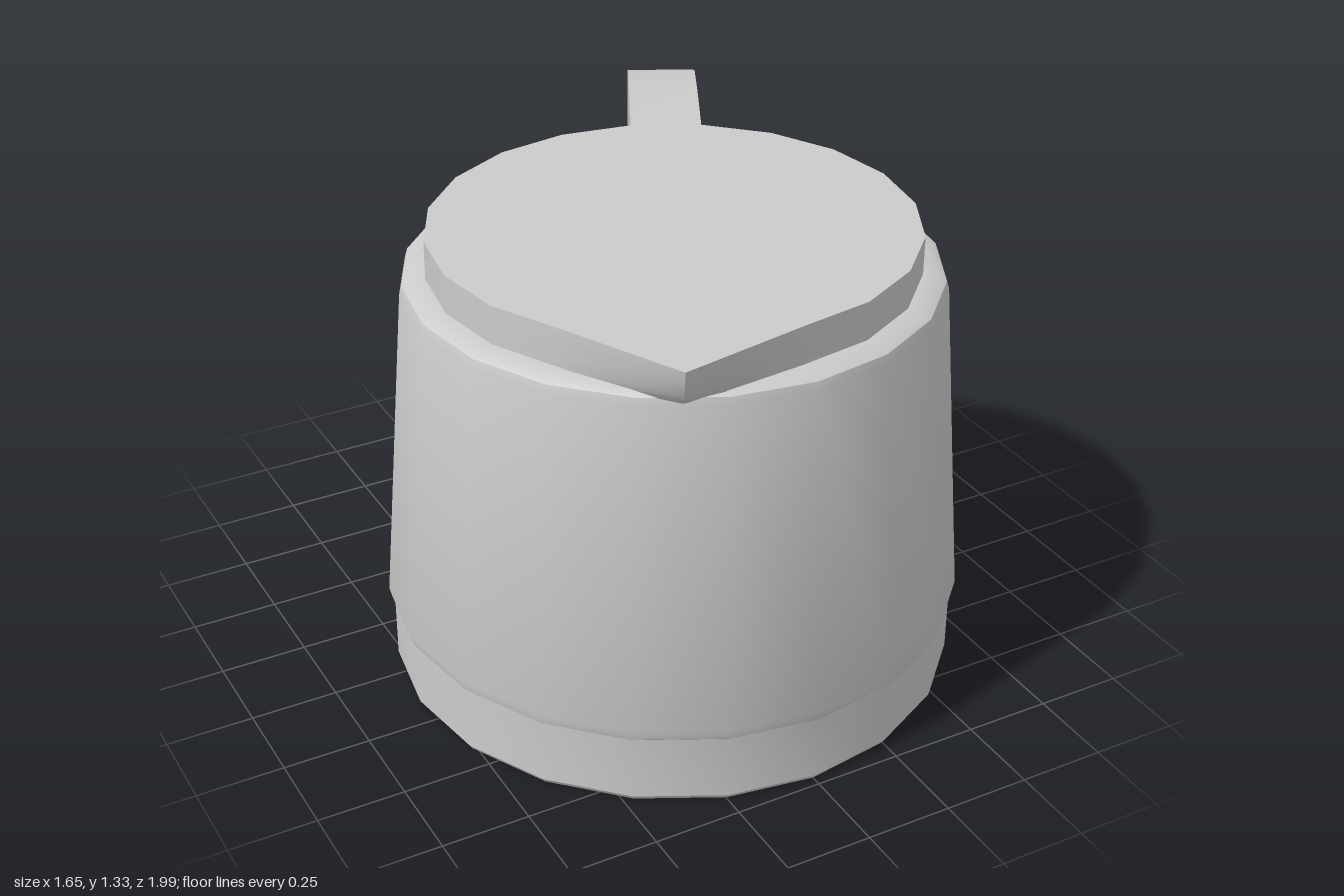
import * as THREE from 'three';
import { toCreasedNormals } from 'three/addons/utils/BufferGeometryUtils.js';

const SEGMENTS = 20;
const LID_RADIUS = 0.675;
const TIP_RADIUS = 0.835;
const SPOUT_ANGLE = 333; // degrees from +z towards +x; the handle lies opposite

function makeMesh(name, geometry, crease = 0.55) {
  const material = new THREE.MeshStandardMaterial({ color: 0xcccccc });
  const mesh = new THREE.Mesh(toCreasedNormals(geometry, crease), material);
  mesh.name = name;
  return mesh;
}

// Faceted round pot with a narrower foot band
function bodyGeometry() {
  const profile = [
    [0, 0], [0.8, 0], [0.81, 0.015], [0.81, 0.205], [0.818, 0.212], [0.825, 0.24],
    [0.747, 1.18], [0.74, 1.203], [0.72, 1.214], [0.675, 1.22], [0, 1.22],
  ].map(([r, y]) => new THREE.Vector2(r, y));
  return new THREE.LatheGeometry(profile, SEGMENTS);
}

// Lid: stacked rings that flare from a circle into a pointed spout
function lidGeometry() {
  const levels = [[1.19, 0.4], [1.215, 0.6], [1.24, 0.75], [1.295, 0.93], [1.33, 1]];
  const angles = [];
  for (let i = 0; i < SEGMENTS; i++) angles.push((i * 360) / SEGMENTS);
  angles.push(SPOUT_ANGLE);
  angles.sort((a, b) => a - b);

  const polar = (deg, r) => {
    const a = THREE.MathUtils.degToRad(deg);
    return new THREE.Vector2(Math.sin(a) * r, Math.cos(a) * r);
  };
  const tip = polar(SPOUT_ANGLE, TIP_RADIUS);
  const ringPoint = (deg, flare) => {
    const p = polar(deg, LID_RADIUS);
    const away = Math.abs(deg - SPOUT_ANGLE) / 27;
    if (away >= 1) return p;
    const side = polar(SPOUT_ANGLE + 27 * Math.sign(deg - SPOUT_ANGLE), LID_RADIUS);
    return p.lerp(tip.clone().lerp(side, away), flare);
  };

  const positions = [];
  const indices = [];
  const n = angles.length;
  for (const [y, flare] of levels) {
    for (const deg of angles) {
      const p = ringPoint(deg, flare);
      positions.push(p.x, y, p.y);
    }
  }
  const top = (levels.length - 1) * n;
  const centre = levels.length * n;
  positions.push(0, levels[levels.length - 1][0], 0, 0, levels[0][0], 0);
  for (let i = 0; i < n; i++) {
    const j = (i + 1) % n;
    for (let k = 0; k < top; k += n) {
      indices.push(k + i, k + j, k + n + j, k + i, k + n + j, k + n + i);
    }
    indices.push(centre, top + i, top + j, centre + 1, j, i);
  }
  const geometry = new THREE.BufferGeometry();
  geometry.setAttribute('position', new THREE.Float32BufferAttribute(positions, 3));
  geometry.setIndex(indices);
  return geometry;
}

// Hooked handle: side outline (distance from the axis, height) given thickness
function handleGeometry() {
  const width = 0.208;
  const outline = [
    [0.6, 1.22], [0.9, 1.22], [1.05, 1.205], [1.12, 1.18], [1.142, 1.1],
    [1.142, 0.295], [1.16, 0.27], [1.205, 0.27], [1.26, 0.295],
    [1.26, 1.21], [1.22, 1.285], [1.13, 1.315], [0.95, 1.33], [0.6, 1.33],
  ].map(([r, y]) => new THREE.Vector2(r, y));
  const geometry = new THREE.ExtrudeGeometry(new THREE.Shape(outline), {
    depth: width, bevelEnabled: false,
  });
  geometry.translate(0, 0, -width / 2);
  geometry.rotateY(THREE.MathUtils.degToRad(63));
  return geometry;
}

export function createModel() {
  const model = new THREE.Group();
  model.name = 'coffeePot';
  const pot = new THREE.Group();
  pot.name = 'pot';
  pot.position.z = 0.17;
  pot.add(
    makeMesh('body', bodyGeometry()),
    makeMesh('lidWithSpout', lidGeometry()),
    makeMesh('handle', handleGeometry(), 0.4),
  );
  model.add(pot);
  return model;
}
